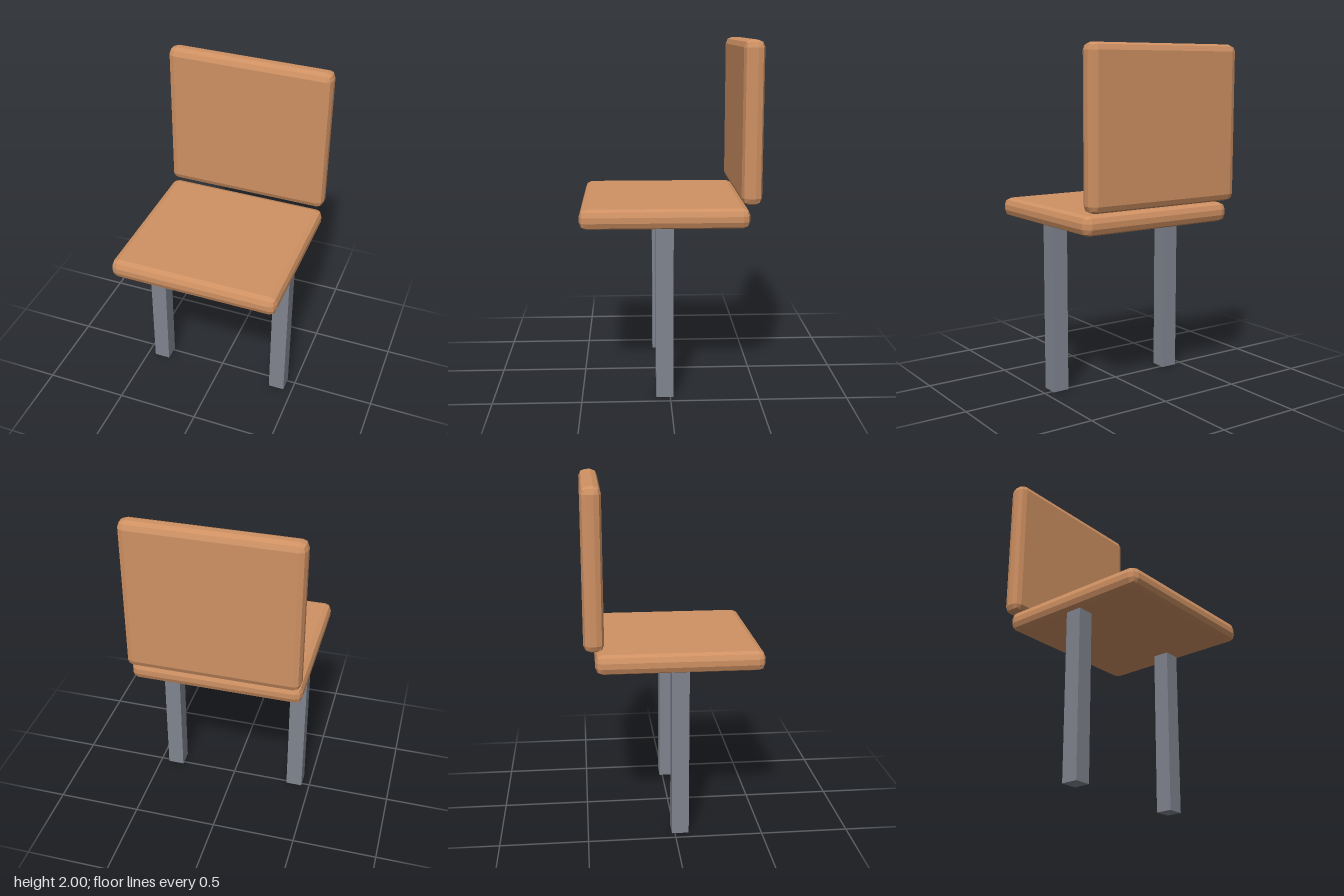
import * as THREE from 'three';
import { RoundedBoxGeometry } from 'three/addons/geometries/RoundedBoxGeometry.js';

export function createModel() {
  const group = new THREE.Group();
  group.name = 'chair';

  const wood = new THREE.MeshStandardMaterial({ color: 0xcf9163 });
  wood.name = 'warm wood';
  const metal = new THREE.MeshStandardMaterial({ color: 0x80848f });
  metal.name = 'grey metal';

  const add = (name, geometry, material, x, y, z) => {
    const mesh = new THREE.Mesh(geometry, material);
    mesh.name = name;
    mesh.position.set(x, y, z);
    group.add(mesh);
  };

  // Slab with two-step faceted bevels
  const slab = (w, h, d) => {
    const geometry = new RoundedBoxGeometry(w, h, d, 1, 0.04);
    geometry.computeVertexNormals();
    return geometry;
  };

  // Seat and the backrest floating just above its rear edge
  add('seat', slab(0.985, 0.112, 0.938), wood, -0.002, 1.038, 0.031);
  add('backrest', slab(0.985, 0.888, 0.113), wood, -0.002, 1.556, -0.4435);

  // Pair of square legs under the seat
  for (const [name, x] of [['rightLeg', -0.402], ['leftLeg', 0.398]]) {
    add(name, new THREE.BoxGeometry(0.098, 0.984, 0.098), metal, x, 0.492, 0.031);
  }

  return group;
}
